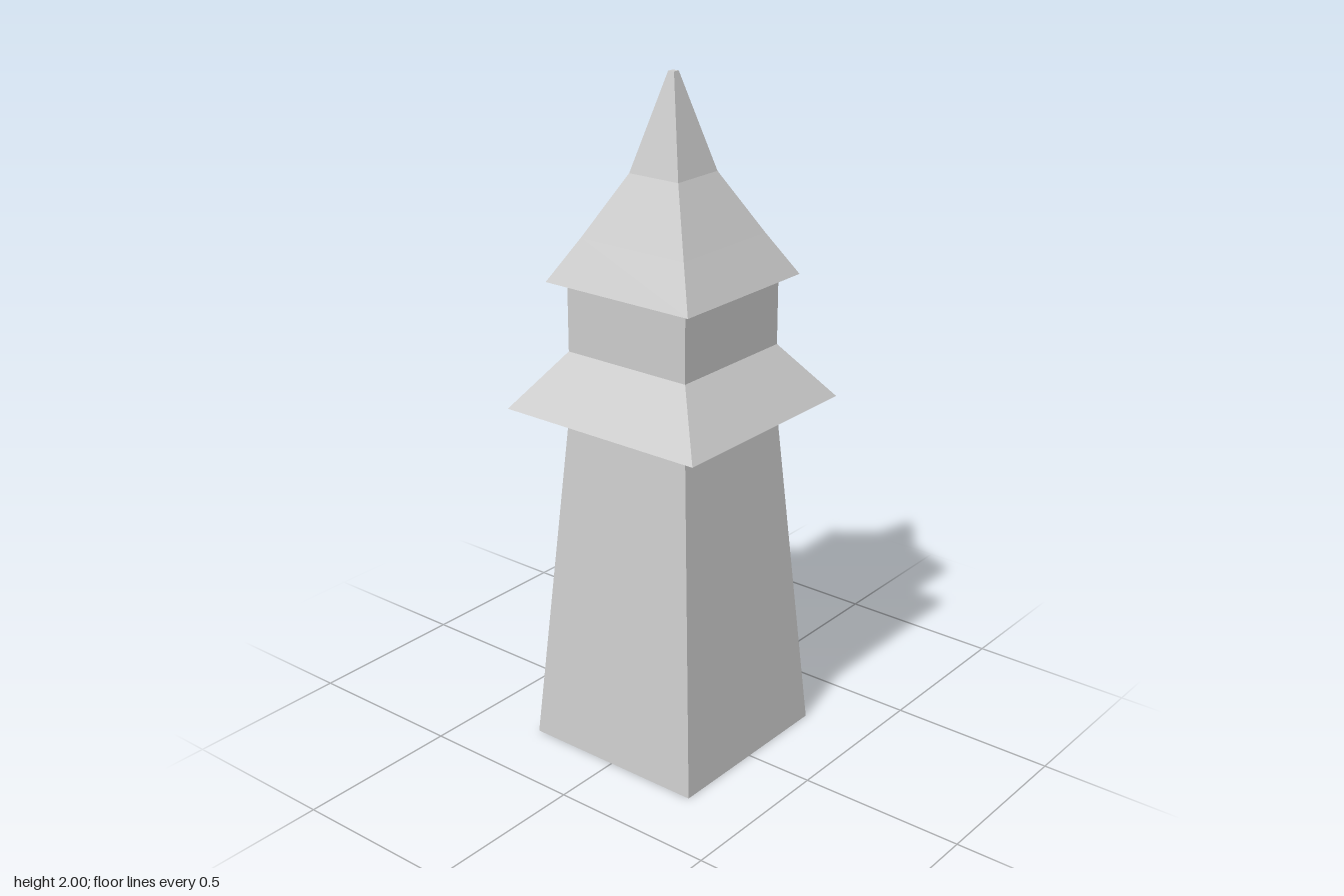
import * as THREE from 'three';

const material = new THREE.MeshStandardMaterial({ color: 0xcccccc, flatShading: true, side: THREE.DoubleSide });

const BASE = 0.29, NECK = 0.208, SHAFT_TOP = 1.055, NICHE_DEPTH = 0.135;
const DOOR = [[-0.09, 0], [-0.08, 0.31], [0.08, 0.31], [0.09, 0]];

// Half width of the tapering shaft at height y
const halfAt = (y) => BASE + (NECK - BASE) * (y / SHAFT_TOP);

function part(name, geometry) {
  const mesh = new THREE.Mesh(geometry, material);
  mesh.name = name;
  return mesh;
}

// Square turning: profile of [half width, height]; fewer sides leave the +x face open
function squareTurn(profile, sides = 4) {
  const points = profile.map(([half, y]) => new THREE.Vector2(half * Math.SQRT2, y));
  const start = sides === 4 ? Math.PI / 4 : Math.PI * 0.75;
  return new THREE.LatheGeometry(points, sides, start, sides * Math.PI / 2);
}

// Flat outline laid on the sloping +x wall, set back by depth
function onWall(outline, depth) {
  const shape = new THREE.Shape(outline.map(([u, y]) => new THREE.Vector2(u, y)));
  const geometry = new THREE.ShapeGeometry(shape);
  const p = geometry.attributes.position;
  for (let i = 0; i < p.count; i++) {
    const u = p.getX(i), y = p.getY(i);
    p.setXYZ(i, halfAt(y) - depth, y, -u);
  }
  geometry.computeVertexNormals();
  return geometry;
}

// Jambs and lintel: a strip of three quads from the wall to the niche back
function doorReveal() {
  const geometry = new THREE.PlaneGeometry(1, 1, 3, 1);
  const p = geometry.attributes.position;
  for (let i = 0; i < p.count; i++) {
    const [u, y] = DOOR[i % 4];
    p.setXYZ(i, halfAt(y) - (i < 4 ? NICHE_DEPTH : 0), y, -u);
  }
  geometry.computeVertexNormals();
  return geometry;
}

export function createModel() {
  const tower = new THREE.Group();
  tower.name = 'tower';

  // Hollow tapering shaft with the doorway in its +x wall
  tower.add(part('shaftWalls', squareTurn([[BASE, 0], [NECK, SHAFT_TOP]], 3)));
  tower.add(part('doorWall', onWall([
    [-BASE, 0], ...DOOR, [BASE, 0], [NECK, SHAFT_TOP], [-NECK, SHAFT_TOP],
  ], 0)));
  tower.add(part('doorReveal', doorReveal()));
  tower.add(part('doorBack', onWall([...DOOR].reverse(), NICHE_DEPTH)));

  // Lower skirt roof, upper storey and spire
  tower.add(part('skirtRoof', squareTurn([[NECK, SHAFT_TOP], [0.332, SHAFT_TOP], [NECK, 1.22]])));
  tower.add(part('upperStorey', squareTurn([[NECK, 1.22], [NECK, 1.425]])));
  tower.add(part('spire', squareTurn([
    [NECK, 1.425], [0.25, 1.425], [0.18, 1.548], [0.085, 1.725], [0.01, 2], [0, 2],
  ])));

  return tower;
}
